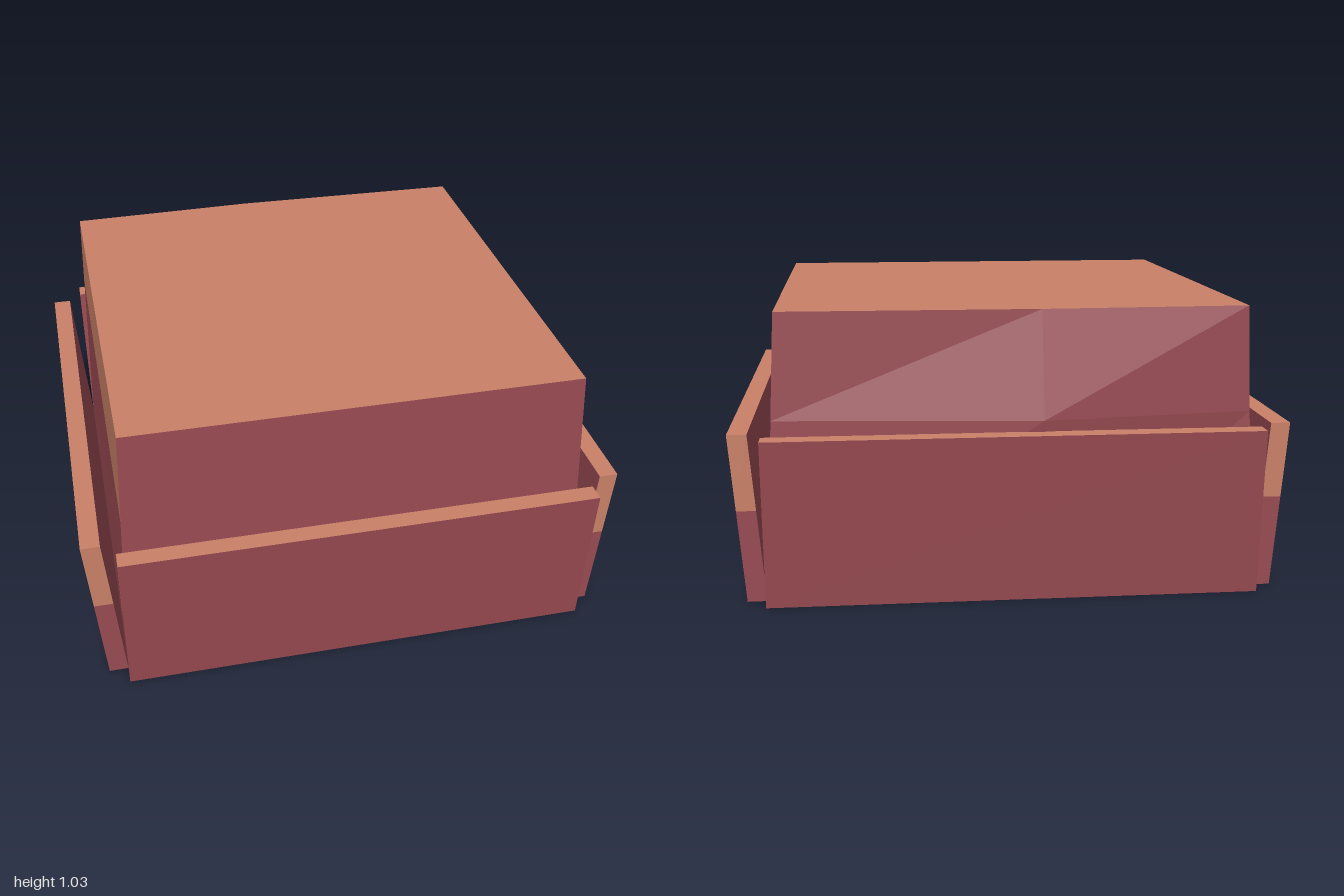
import * as THREE from 'three';

const red = new THREE.MeshStandardMaterial({ color: 0x984a52 });
red.name = 'brick red';
const orange = new THREE.MeshStandardMaterial({ color: 0xc98066 });
orange.name = 'terracotta';

// Flat mesh from convex polygons, corners anticlockwise seen from outside
function panel(name, material, polygons) {
  const pos = [];
  for (const p of polygons)
    for (let i = 1; i < p.length - 1; i++) pos.push(...p[0], ...p[i], ...p[i + 1]);
  const g = new THREE.BufferGeometry();
  g.setAttribute('position', new THREE.Float32BufferAttribute(pos, 3));
  g.computeVertexNormals();
  const mesh = new THREE.Mesh(g, material);
  mesh.name = name;
  return mesh;
}

const HEIGHT = 1.03, BULGE_Y = 0.65, WALL = 0.04;
const mix = (a, b, t) => a.map((v, k) => v + (b[k] - v) * t);

// Corner columns: front left of frame, front right, back right, back middle, back left
const bottom = [[-0.88, 0, 0.88], [0.88, 0, 0.88], [0.88, 0, -0.88], [-0.1, 0, -0.88], [-0.88, 0, -0.88]];
const top = [[-0.835, HEIGHT, 0.835], [0.84, HEIGHT, 0.83], [0.83, HEIGHT, -0.84], [-0.1, HEIGHT, -0.855], [-0.845, HEIGHT, -0.833]];
const bulge = [-0.1, BULGE_Y, -0.94];

// Point on column i at height y; the back middle column bends outward
function at(i, y) {
  if (i !== 3) return mix(bottom[i], top[i], y / HEIGHT);
  return y < BULGE_Y ? mix(bottom[3], bulge, y / BULGE_Y)
    : mix(bulge, top[3], (y - BULGE_Y) / (HEIGHT - BULGE_Y));
}
function inner(i, y) {
  const p = at(i, y);
  return [i === 3 ? p[0] : p[0] - Math.sign(p[0]) * WALL, y, p[2] - Math.sign(p[2]) * WALL];
}
// Wall between column i and the next, with a height at each end
const wall = (i, a0, a1, b0, b1) => {
  const j = (i + 1) % 5;
  return [at(i, a0), at(j, b0), at(j, b1), at(i, a1)];
};

function createBody() {
  const body = new THREE.Group();
  body.name = 'body';
  const H = HEIGHT, ceiling = H - WALL;
  const back = [2, 3].flatMap(i => [wall(i, 0, BULGE_Y, 0, BULGE_Y), wall(i, BULGE_Y, H, BULGE_Y, H)]);
  const inside = [], rim = [];
  for (let i = 0; i < 5; i++) {
    const j = (i + 1) % 5;
    for (const [lo, hi] of [[0, BULGE_Y], [BULGE_Y, ceiling]])
      inside.push([inner(j, lo), inner(i, lo), inner(i, hi), inner(j, hi)]);
    rim.push([at(j, 0), at(i, 0), inner(i, 0), inner(j, 0)]);
  }
  inside.push([4, 3, 2, 1, 0].map(i => inner(i, ceiling)));
  body.add(
    panel('lid', orange, [top]),
    panel('frontWall', red, [wall(0, 0, H, 0, H)]),
    panel('backWall', red, back),
    panel('leftWallLower', red, [wall(1, 0, 0.45, 0, 0.45)]),
    panel('leftWallUpper', orange, [wall(1, 0.45, H, 0.45, H)]),
    panel('rightWallLower', red, [wall(4, 0, 0.73, 0, 0.68)]),
    panel('rightWallUpper', orange, [wall(4, 0.73, H, 0.68, H)]),
    panel('hollowInside', red, inside),
    panel('bottomRim', red, rim),
  );
  return body;
}

// Thick board leaning outward, built facing +z
function createFlap(name) {
  const L = 0.88, T = 0.61, S = 0.335;
  const inZ = y => 0.88 + 0.05 * y / T, outZ = y => 0.95 + 0.05 * y / T;
  const end = (x, lo, hi) => {
    const q = [[x, lo, outZ(lo)], [x, lo, inZ(lo)], [x, hi, inZ(hi)], [x, hi, outZ(hi)]];
    return x > 0 ? q : q.reverse();
  };
  const flap = new THREE.Group();
  flap.name = name;
  flap.add(
    panel('flapFaces', red, [
      [[-L, 0, outZ(0)], [L, 0, outZ(0)], [L, T, outZ(T)], [-L, T, outZ(T)]],
      [[L, 0, inZ(0)], [-L, 0, inZ(0)], [-L, T, inZ(T)], [L, T, inZ(T)]],
      [[-L, 0, inZ(0)], [L, 0, inZ(0)], [L, 0, outZ(0)], [-L, 0, outZ(0)]],
      end(L, 0, S), end(-L, 0, S),
    ]),
    panel('flapEdges', orange, [
      [[-L, T, outZ(T)], [L, T, outZ(T)], [L, T, inZ(T)], [-L, T, inZ(T)]],
      end(L, S, T), end(-L, S, T),
    ]),
  );
  return flap;
}

export function createModel() {
  const model = new THREE.Group();
  model.name = 'flaredBox';
  model.add(createBody());
  ['frontFlap', 'leftFlap', 'backFlap', 'rightFlap'].forEach((name, i) => {
    const flap = createFlap(name);
    flap.rotation.y = i * Math.PI / 2;
    model.add(flap);
  });
  return model;
}
